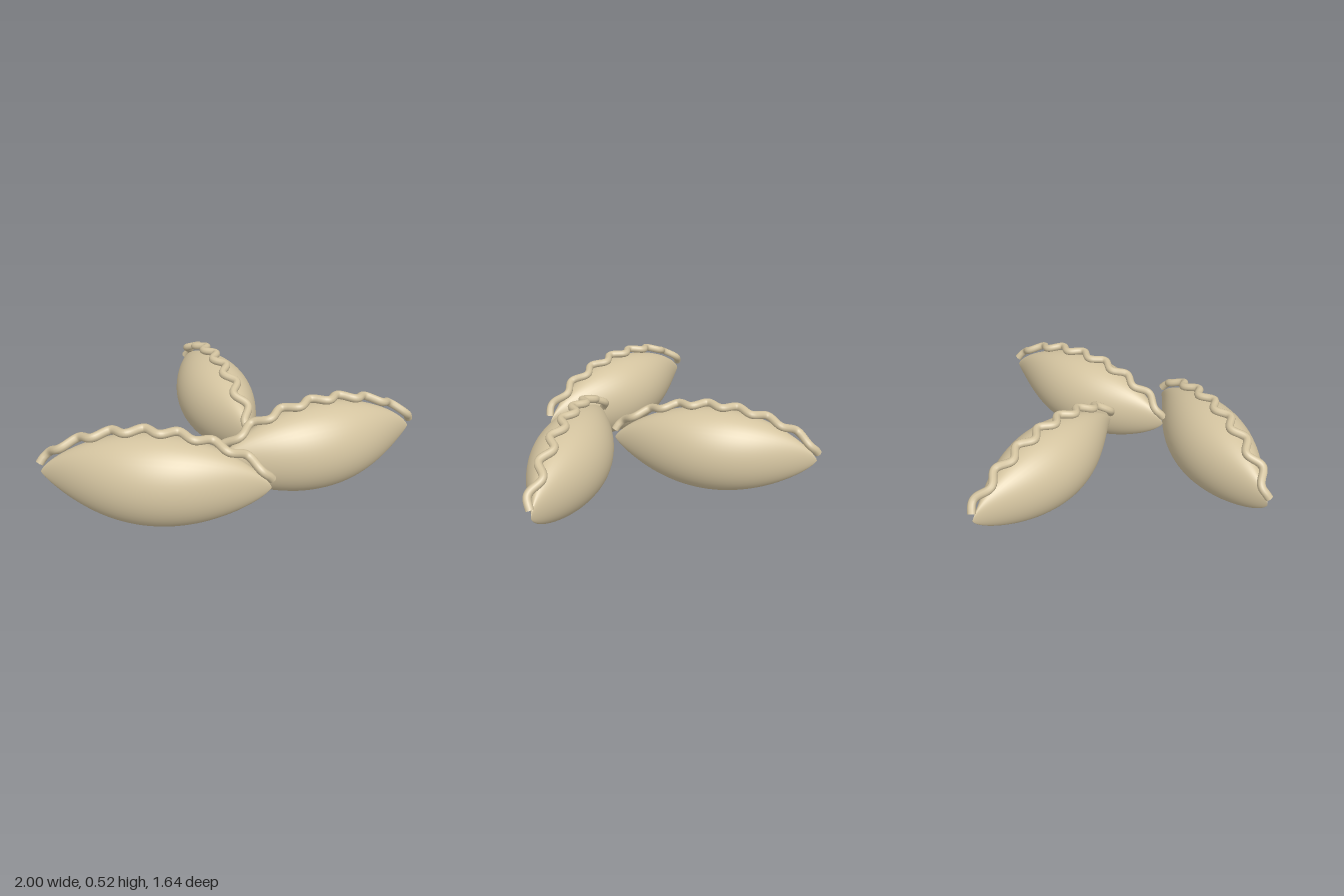
import * as THREE from 'three';
import { mergeVertices } from 'three/addons/utils/BufferGeometryUtils.js';

const HALF = 0.57;    // half length of a dumpling
const HEIGHT = 0.236; // half height
const WIDTH = 0.207;  // half width

// Plump spindle along x: tapers to an upright edge at both ends
function bodyGeometry() {
  let g = new THREE.SphereGeometry(1, 48, 48);
  g.rotateZ(Math.PI / 2);
  g.deleteAttribute('uv');
  g.deleteAttribute('normal');
  g = mergeVertices(g, 1e-5);
  const p = g.attributes.position;
  for (let i = 0; i < p.count; i++) {
    const x = p.getX(i);
    const s = Math.sqrt(Math.max(0, 1 - x * x));
    p.setXYZ(i, x * HALF, p.getY(i) * HEIGHT * Math.pow(s, 0.5), p.getZ(i) * WIDTH * Math.pow(s, 1.5));
  }
  g.computeVertexNormals();
  return g;
}

// Wavy crimped seam arching over the top
function seamGeometry() {
  const points = [];
  const n = 84;
  for (let i = 0; i <= n; i++) {
    const s = i / n;
    const u = 2 * s - 1;
    points.push(new THREE.Vector3(
      u * HALF,
      0.047 + 0.22 * Math.pow(Math.max(0, 1 - u * u), 0.75),
      -0.025 * Math.sin(s * Math.PI * 2 * 7)
    ));
  }
  return new THREE.TubeGeometry(new THREE.CatmullRomCurve3(points), 220, 0.022, 10, false);
}

export function createModel() {
  const dough = new THREE.MeshStandardMaterial({ color: 0xd4c4a0, side: THREE.DoubleSide });
  dough.name = 'dough';

  const model = new THREE.Group();
  model.name = 'dumplings';
  const bodyGeo = bodyGeometry();
  const seamGeo = seamGeometry();

  // x, z and turn of each dumpling
  const places = [
    ['leftDumpling', 0.43, 0.38, 0.25],
    ['rightDumpling', -0.43, 0.595, -0.26],
    ['backDumpling', -0.03, -0.25, -1.34],
  ];
  for (const [name, x, z, turn] of places) {
    const dumpling = new THREE.Group();
    dumpling.name = name;
    const body = new THREE.Mesh(bodyGeo, dough);
    body.name = 'body';
    const seam = new THREE.Mesh(seamGeo, dough);
    seam.name = 'crimpedSeam';
    dumpling.add(body, seam);
    dumpling.position.set(x, HEIGHT + 0.002, z);
    dumpling.rotation.y = turn;
    model.add(dumpling);
  }
  return model;
}
